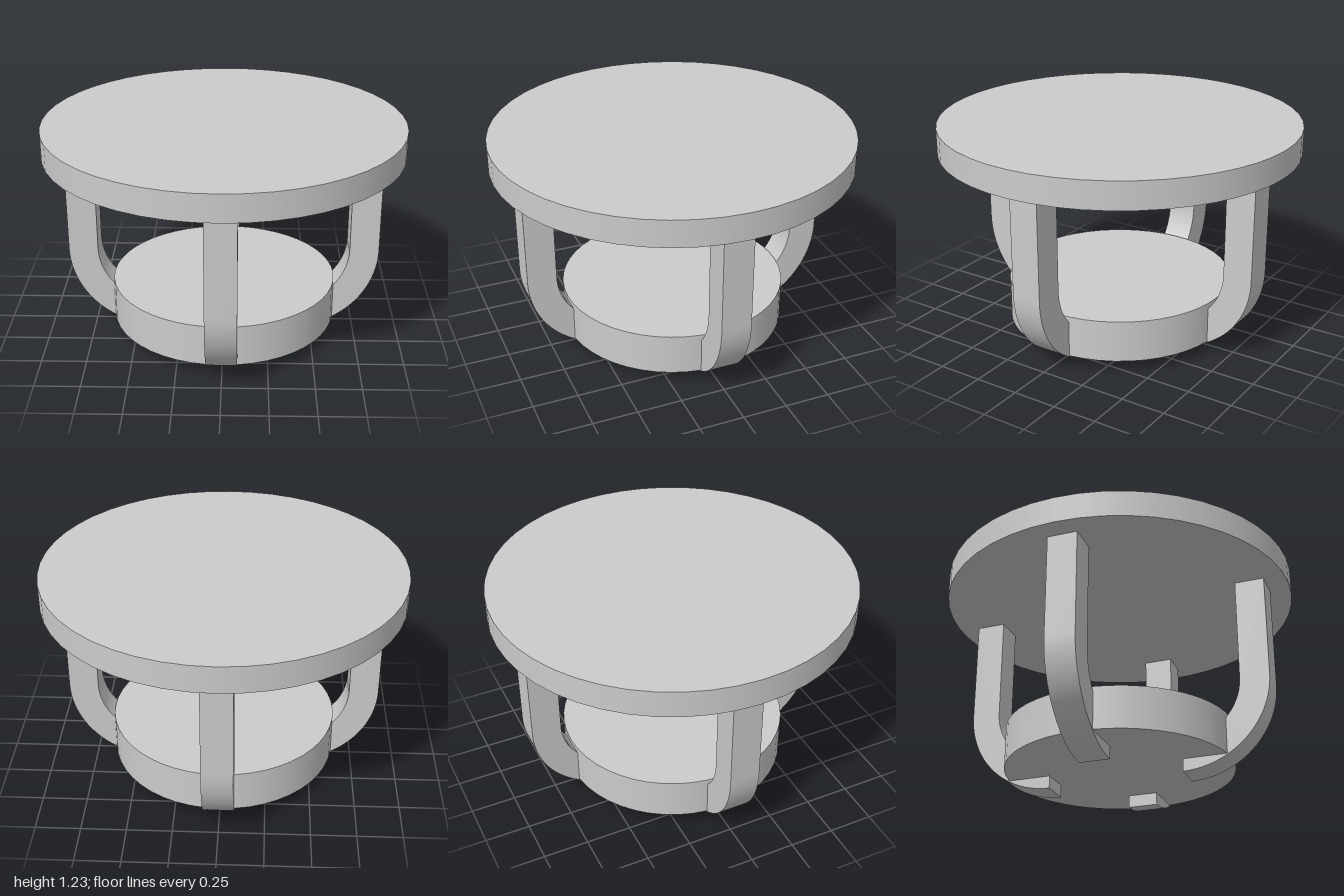
import * as THREE from 'three';
import { toCreasedNormals } from 'three/addons/utils/BufferGeometryUtils.js';

const material = new THREE.MeshStandardMaterial({ color: 0xcccccc });

// Round slab between two heights
function disc(name, radius, bottom, top) {
  const mesh = new THREE.Mesh(new THREE.CylinderGeometry(radius, radius, top - bottom, 48), material);
  mesh.position.y = (bottom + top) / 2;
  mesh.name = name;
  return mesh;
}

// Square-section leg: upright post that curves inward at the foot
function legGeometry() {
  const bend = 0.385, outer = 0.495, inner = 0.33, top = 1.08, width = 0.168;
  const shape = new THREE.Shape();
  shape.moveTo(bend + outer, top);
  shape.lineTo(bend + inner, top);
  shape.lineTo(bend + inner, outer);
  shape.absarc(bend, outer, inner, 0, -Math.PI / 2, true);
  shape.lineTo(bend, 0);
  shape.absarc(bend, outer, outer, -Math.PI / 2, 0, false);
  shape.closePath();
  const geometry = new THREE.ExtrudeGeometry(shape, { depth: width, bevelEnabled: false, curveSegments: 16 });
  geometry.translate(0, 0, -width / 2);
  return toCreasedNormals(geometry, 0.5);
}

export function createModel() {
  const model = new THREE.Group();
  model.name = 'roundTable';

  model.add(disc('tableTop', 1, 1.08, 1.23));
  model.add(disc('lowerShelf', 0.635, 0.07, 0.305));

  // Four legs, one on each axis
  const geometry = legGeometry();
  ['leftLeg', 'backLeg', 'rightLeg', 'frontLeg'].forEach((name, i) => {
    const leg = new THREE.Mesh(geometry, material);
    leg.rotation.y = i * Math.PI / 2;
    leg.name = name;
    model.add(leg);
  });

  return model;
}
